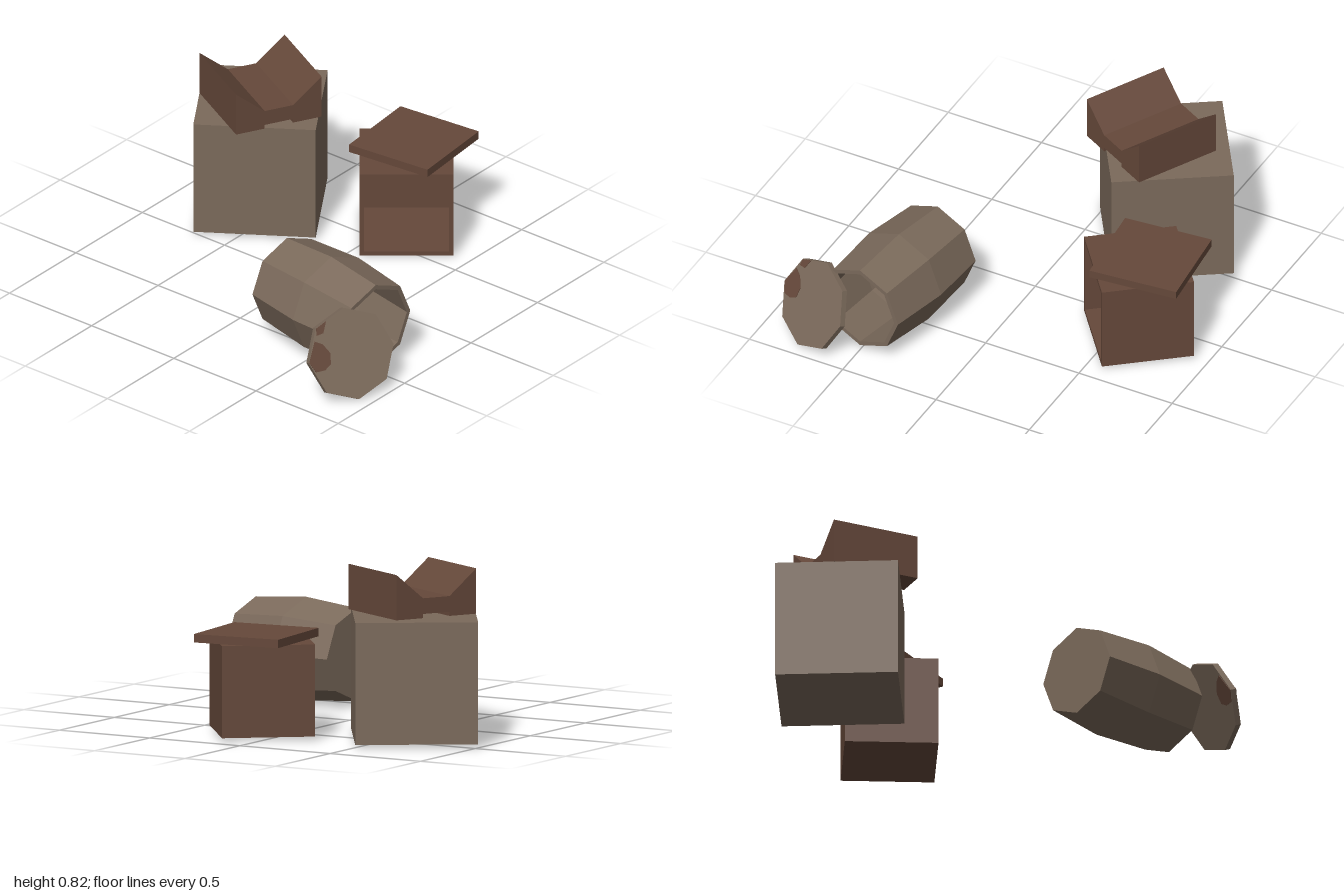
import * as THREE from 'three';

const stone = new THREE.MeshStandardMaterial({ color: 0x7b6a5b });
stone.name = 'weathered tan';
const wood = new THREE.MeshStandardMaterial({ color: 0x65483a });
wood.name = 'dark brown wood';

// Splits a geometry into separate faces so that every facet is flat
function facet(geo) {
  const g = geo.index ? geo.toNonIndexed() : geo;
  g.computeVertexNormals();
  return g;
}

function part(name, geo, material, x, y, z, turn = 0) {
  const mesh = new THREE.Mesh(geo, material);
  mesh.name = name;
  mesh.position.set(x, y, z);
  mesh.rotation.y = turn;
  return mesh;
}

const points = (list) => list.map(([x, y]) => new THREE.Vector2(x, y));

// Crate lying on its side, open towards its local -x
function openCrate() {
  const w = 0.444, h = 0.44, wall = 0.02, a = w / 2, b = h / 2;
  const outline = new THREE.Shape(points([[-a, -b], [a, -b], [a, b], [-a, b]]));
  const i = a - wall, j = b - wall;
  outline.holes.push(new THREE.Path(points([[-i, -j], [-i, j], [i, j], [i, -j]])));
  const walls = new THREE.ExtrudeGeometry(outline, { depth: w - wall, bevelEnabled: false });
  walls.rotateY(-Math.PI / 2).translate(a - wall, 0, 0);
  const crate = new THREE.Group();
  crate.name = 'openCrate';
  crate.add(part('crateWalls', walls, wood, 0, 0, 0));
  crate.add(part('crateBottom', new THREE.BoxGeometry(wall, h, w), wood, a - wall / 2, 0, 0));
  crate.position.set(0.615, 0.24, 0.11);
  crate.rotation.y = 0.68;
  return crate;
}

// Block with a wide trough on top and a shallow groove below
function troughBlock() {
  const s = 0.22, t = 0.073;
  const profile = new THREE.Shape(points([
    [-s, 0], [-t, 0], [-t, 0.02], [t, 0.02], [t, 0], [s, 0],
    [s, 0.217], [t, 0.095], [-t, 0.095], [-s, 0.217],
  ]));
  const geo = new THREE.ExtrudeGeometry(profile, { depth: 2 * s, bevelEnabled: false });
  geo.translate(0, 0, -s);
  return part('troughBlock', geo, wood, 0.33, 0.605, -0.548, -0.484);
}

// Hollow eight-sided barrel lying down, mouth to the front
function barrel() {
  const geo = new THREE.LatheGeometry(points([
    [0, -0.31], [0.222, -0.31], [0.248, 0], [0.222, 0.31],
    [0.2, 0.31], [0.222, 0], [0.2, -0.28], [0, -0.28],
  ]), 8);
  geo.rotateX(Math.PI / 2);
  return part('barrel', facet(geo), stone, -0.455, 0.252, 0.518, -0.145);
}

// Eight-sided lid leaning against the barrel mouth, with worn patches
function barrelLid() {
  const across = new THREE.Vector3(0.902, 0, 0.433);
  const normal = new THREE.Vector3(-0.4, 0.39, 0.83);
  normal.addScaledVector(across, -normal.dot(across)).normalize();
  const up = new THREE.Vector3().crossVectors(normal, across);
  const lid = new THREE.Group();
  lid.name = 'barrelLid';
  const thick = 0.03;
  const disc = new THREE.CylinderGeometry(0.222, 0.222, thick, 8);
  disc.rotateX(Math.PI / 2);
  lid.add(part('lidDisc', facet(disc), stone, 0, 0, -thick / 2));

  const side = [[-0.174, 0.095], [-0.137, 0.075], [-0.106, 0.026], [-0.112, -0.028],
    [-0.147, -0.05], [-0.193, -0.05], [-0.22, 0]];
  const rim = [[-0.155, 0.154], [-0.1, 0.178], [-0.124, 0.125], [-0.16, 0.12]];
  const patch = (name, list, z) => {
    const geo = new THREE.ExtrudeGeometry(new THREE.Shape(points(list)), { depth: 0.003, bevelEnabled: false });
    lid.add(part(name, geo, wood, 0, 0, z));
  };
  patch('sidePatch', side, 0);
  patch('rimPatch', rim, 0);
  patch('backPatch', side, -thick - 0.003);

  lid.quaternion.setFromRotationMatrix(new THREE.Matrix4().makeBasis(across, up, normal));
  lid.position.set(-0.735, 0.22, 0.865);
  return lid;
}

export function createModel() {
  const model = new THREE.Group();
  model.name = 'barrelAndCrates';
  model.add(
    part('largeBlock', new THREE.BoxGeometry(0.582, 0.583, 0.582), stone, 0.388, 0.3115, -0.595, 0.583),
    troughBlock(),
    openCrate(),
    part('crateLid', new THREE.BoxGeometry(0.443, 0.04, 0.443), wood, 0.675, 0.485, 0.107, 0.1),
    barrel(),
    barrelLid(),
  );
  return model;
}
